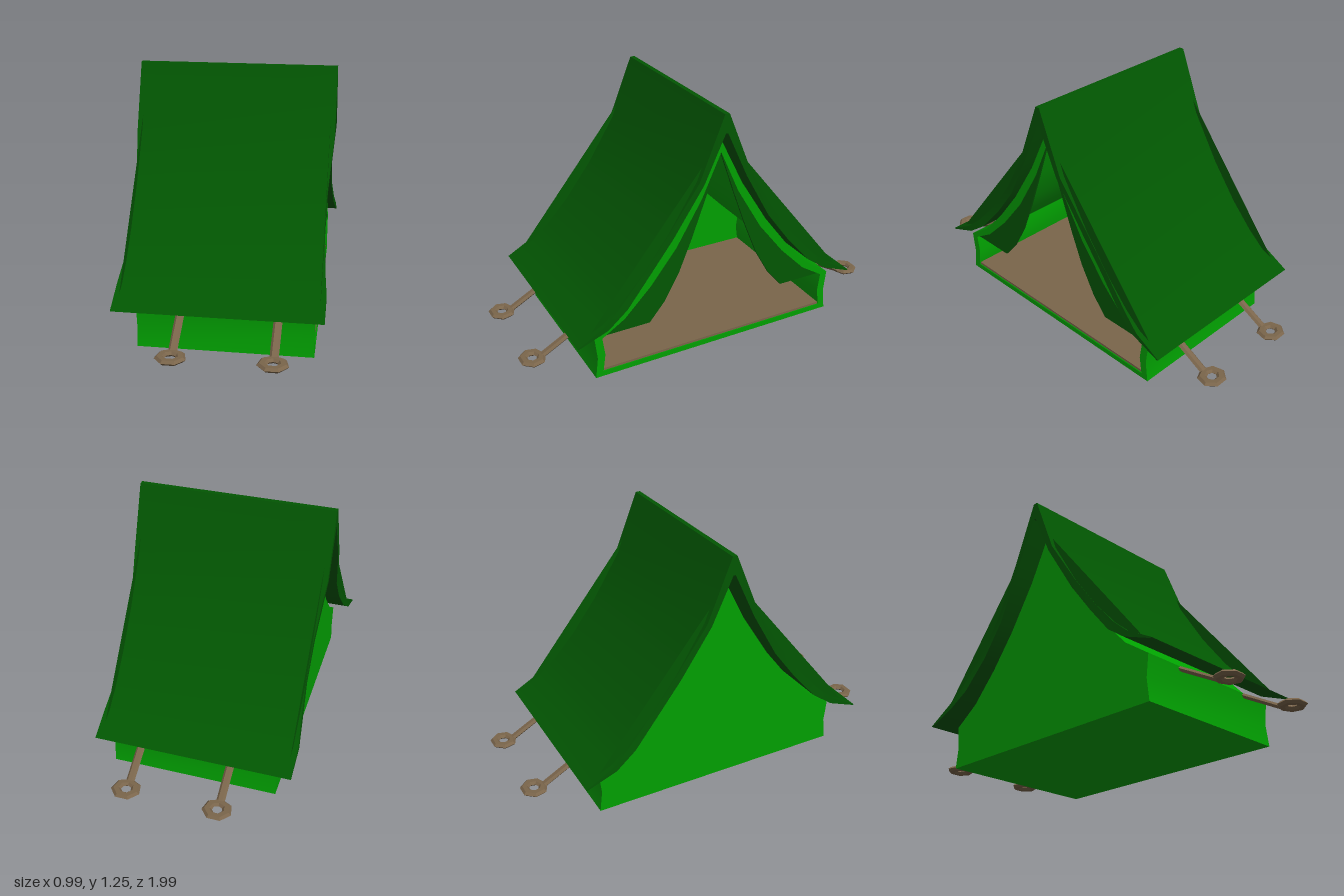
import * as THREE from 'three';
import { toCreasedNormals } from 'three/addons/utils/BufferGeometryUtils.js';

const mat = (name, color, side = THREE.FrontSide) => {
  const m = new THREE.MeshStandardMaterial({ color, side });
  m.name = name;
  return m;
};

// Turns half profiles [z, y], listed from the ridge down, into a closed symmetric outline
const outline = (half) => [
  ...half.map(([z, y]) => new THREE.Vector2(z, y)),
  ...half.slice().reverse().filter(([z]) => z !== 0).map(([z, y]) => new THREE.Vector2(-z, y)),
];

// Extrudes a z-y shape along x, from x0 to x1
function extrudeX(shape, x0, x1) {
  const g = new THREE.ExtrudeGeometry(shape, { depth: x1 - x0, bevelEnabled: false });
  return toCreasedNormals(g.rotateY(Math.PI / 2).translate(x0, 0, 0), 0.5);
}

// Half profiles of the cover, outside and inside, and how far its ends draw in
const coverOuter = [[0.012, 1.255], [0.14, 0.94], [0.29, 0.7], [0.43, 0.515], [0.55, 0.385], [0.64, 0.308], [0.78, 0.23]];
const coverInner = [[0.006, 1.16], [0.115, 0.925], [0.265, 0.67], [0.39, 0.505], [0.515, 0.36], [0.62, 0.285], [0.775, 0.226]];
const coverPull = [0, 0, 0.022, 0.024, 0.012, 0, 0];

// Cover: a thick sagging sheet, as a closed loop of profiles
function coverGeometry() {
  const rows = [[coverInner, -1], [coverOuter, -1], [coverOuter, 1], [coverInner, 1], [coverInner, -1]];
  const n = coverOuter.length, cols = 2 * n, pos = [], idx = [];
  for (const [profile, end] of rows) {
    for (let j = 0; j < cols; j++) {
      const front = j < n, k = front ? n - 1 - j : j - n;
      const [z, y] = profile[k];
      pos.push(end * (0.497 - coverPull[k]), y, front ? z : -z);
    }
  }
  for (let i = 0; i < rows.length - 1; i++) {
    for (let j = 0; j < cols - 1; j++) {
      const a = i * cols + j, b = a + cols;
      idx.push(a, b, b + 1, a, b + 1, a + 1);
    }
  }
  const g = new THREE.BufferGeometry();
  g.setAttribute('position', new THREE.Float32BufferAttribute(pos, 3));
  g.setIndex(idx);
  return toCreasedNormals(g, 0.5);
}

export function createModel() {
  const canvas = mat('bright green canvas', 0x01a001);
  const cover = mat('dark green canvas', 0x025602, THREE.DoubleSide);
  const brown = mat('brown', 0x7a654b);

  const group = new THREE.Group();
  group.name = 'tent';
  const add = (name, geometry, material, parent = group) => {
    const m = new THREE.Mesh(geometry, material);
    m.name = name;
    parent.add(m);
  };

  // Inner tent: hollow shell, open at +x, closed by a wall at -x
  const shellOuter = [[0, 1.11], [0.12, 0.87], [0.265, 0.64], [0.4, 0.465], [0.54, 0.315], [0.675, 0.222], [0.662, 0.11], [0.675, 0]];
  const shellInner = [[0, 1.05], [0.1, 0.83], [0.235, 0.605], [0.375, 0.43], [0.515, 0.29], [0.635, 0.215], [0.622, 0.12], [0.635, 0.028]];
  const shell = new THREE.Shape(outline(shellOuter));
  shell.holes.push(new THREE.Path(outline(shellInner).reverse()));
  add('innerTent', extrudeX(shell, -0.4, 0.45), canvas);
  add('endWall', extrudeX(new THREE.Shape(outline(shellInner)), -0.4, -0.385), canvas);

  // Groundsheet
  add('floor', new THREE.BoxGeometry(0.83, 0.012, 1.265).translate(0.03, 0.034, 0), brown);

  // Door flaps, drawn back to each side of the opening
  const flapEdge = [
    ...shellInner.slice(0, 5), [0.62, 0.225], [0.38, 0.225], [0.3, 0.32], [0.22, 0.46], [0.15, 0.63], [0.08, 0.82],
  ];
  // Taut end hems, bridging the sag of the cover
  const hemEdge = [[0.115, 1.005], [0.7, 0.28], ...coverOuter.slice(1, 6).reverse()];
  for (const s of [-1, 1]) {
    const shape = (pts) => new THREE.Shape(pts.map(([z, y]) => new THREE.Vector2(s * z, y)));
    add(s < 0 ? 'frontFlap' : 'backFlap', extrudeX(shape(flapEdge), 0.436, 0.445), cover);
    for (const x of [-0.472, 0.472]) {
      add('endHem', new THREE.ShapeGeometry(shape(hemEdge)).rotateY(Math.PI / 2).translate(x, 0, 0), cover);
    }
  }

  add('cover', coverGeometry(), cover);

  // Guy lines with flattened ring pegs, two on each long side
  const top = new THREE.Vector3(0, 0.222, 0.655), foot = new THREE.Vector3(0, 0.097, 0.885);
  const dir = foot.clone().sub(top);
  const rod = toCreasedNormals(new THREE.CylinderGeometry(0.021, 0.021, dir.length(), 6).rotateY(Math.PI / 2), 0.5);
  rod.scale(1, 1, 0.6);
  rod.applyQuaternion(new THREE.Quaternion().setFromUnitVectors(new THREE.Vector3(0, 1, 0), dir.clone().normalize()));
  rod.translate(...top.clone().add(foot).multiplyScalar(0.5).toArray());
  const ring = new THREE.TorusGeometry(0.05, 0.025, 6, 7).rotateX(Math.PI / 2).rotateY(Math.PI / 2);
  const ringGeo = toCreasedNormals(ring.scale(1, 0.55, 0.92).translate(0, 0.097, 0.932), 0.3);
  for (const s of [1, -1]) {
    for (const x of [-0.182, 0.28]) {
      const peg = new THREE.Group();
      peg.name = s > 0 ? 'frontPeg' : 'backPeg';
      add('guyLine', rod, brown, peg);
      add('pegRing', ringGeo, brown, peg);
      peg.rotation.y = s > 0 ? 0 : Math.PI;
      peg.position.set(x, s > 0 ? 0 : -0.008, 0);
      group.add(peg);
    }
  }
  return group;
}
